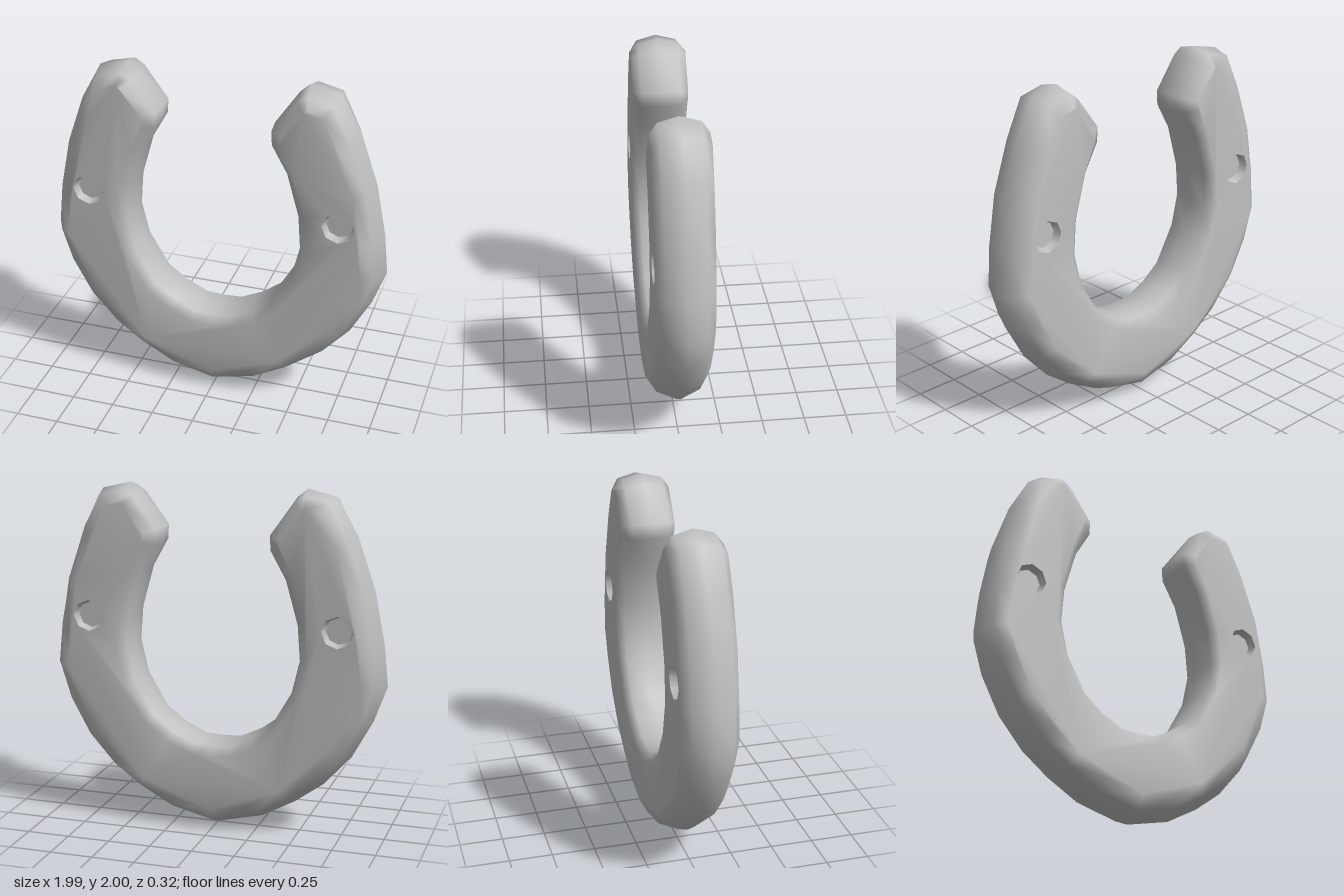
import * as THREE from 'three';

const HALF_DEPTH = 0.16;
const HOLE = { x: 0.735, y: 1.235, rim: 0.092, floor: 0.078, depth: 0.045, sides: 8 };

// Half outline from the toe, up the outside, over the heel and down the inside:
// [x, y, bevel inset at the flat face, inset at the shoulder]
const HALF = [
  [0, 0, 0.13, 0.05], [0.27, 0.065, 0.12, 0.05], [0.47, 0.175, 0.12, 0.05],
  [0.64, 0.3, 0.12, 0.05], [0.8, 0.48, 0.12, 0.05], [0.92, 0.7, 0.12, 0.05],
  [0.995, 0.91, 0.12, 0.06], [0.97, 1.15, 0.11, 0.05], [0.91, 1.45, 0.1, 0.04],
  [0.81, 1.74, 0.1, 0.04], [0.69, 1.96, 0.1, 0.03], [0.52, 2, 0.09, 0.03],
  [0.46, 1.95, 0.08, 0.02], [0.325, 1.75, 0.07, 0.01], [0.33, 1.66, 0.07, 0.01],
  [0.42, 1.5, 0.06, 0.01], [0.49, 1.25, 0.06, 0.01], [0.505, 1.05, 0.06, 0.01],
  [0.46, 0.86, 0.06, 0.01], [0.345, 0.66, 0.06, 0.01], [0.23, 0.575, 0.06, 0.01],
  [0.105, 0.515, 0.06, 0.01], [0, 0.51, 0.06, 0.01],
];

function shoeGeometry() {
  const mirrored = HALF.slice(1, -1).reverse().map(([x, ...rest]) => [-x, ...rest]);
  const outline = [...HALF, ...mirrored];
  const n = outline.length;

  // Outline moved inwards along its normals by the chosen inset column
  const inset = (column) => outline.map((p, i) => {
    const a = outline[(i + n - 1) % n], b = outline[(i + 1) % n];
    const d1 = new THREE.Vector2(p[0] - a[0], p[1] - a[1]).normalize();
    const d2 = new THREE.Vector2(b[0] - p[0], b[1] - p[1]).normalize();
    const d = d1.add(d2).normalize();
    const amount = column ? p[column] : 0;
    return new THREE.Vector2(p[0] - d.y * amount, p[1] + d.x * amount);
  });

  const face = inset(2), shoulder = inset(3), rim = inset(0);
  const levels = [
    [face, HALF_DEPTH], [shoulder, 0.115], [rim, 0], [shoulder, -0.115], [face, -HALF_DEPTH],
  ];
  const positions = [], index = [];
  for (const [ring, z] of levels) for (const p of ring) positions.push(p.x, p.y, z);

  // Bevelled wall around the whole outline
  for (let l = 0; l < levels.length - 1; l++) {
    for (let i = 0; i < n; i++) {
      const j = (i + 1) % n, t = l * n, u = t + n;
      index.push(t + i, u + i, t + j, t + j, u + i, u + j);
    }
  }

  // Flat front and back faces, with an opening for each nail dent
  const holes = [-1, 1].map((s) => Array.from({ length: HOLE.sides }, (_, i) => {
    const a = (-i / HOLE.sides) * Math.PI * 2;
    return new THREE.Vector2(s * HOLE.x + HOLE.rim * Math.sin(a), HOLE.y + HOLE.rim * Math.cos(a));
  }));
  const triangles = THREE.ShapeUtils.triangulateShape(face, holes);
  for (const side of [1, -1]) {
    const ringStart = side > 0 ? 0 : (levels.length - 1) * n;
    const holeStart = positions.length / 3;
    for (const p of holes.flat()) positions.push(p.x, p.y, side * HALF_DEPTH);
    const id = (k) => (k < n ? ringStart + k : holeStart + k - n);
    const points = [...face, ...holes.flat()];
    for (const [a, b, c] of triangles) {
      const A = points[a], B = points[b], C = points[c];
      const area = (B.x - A.x) * (C.y - A.y) - (B.y - A.y) * (C.x - A.x);
      if (area * side > 0) index.push(id(a), id(b), id(c));
      else index.push(id(a), id(c), id(b));
    }
  }

  const geometry = new THREE.BufferGeometry();
  geometry.setAttribute('position', new THREE.Float32BufferAttribute(positions, 3));
  geometry.setIndex(index);
  geometry.computeVertexNormals();
  return geometry;
}

export function createModel() {
  const group = new THREE.Group();
  group.name = 'horseshoe';
  const iron = new THREE.MeshStandardMaterial({ color: 0xc0c0c0 });
  iron.name = 'grey iron';

  const body = new THREE.Mesh(shoeGeometry(), iron);
  body.name = 'shoeBody';
  group.add(body);

  // Shallow nail dents on both faces
  const dent = new THREE.LatheGeometry([
    new THREE.Vector2(HOLE.rim, 0),
    new THREE.Vector2(HOLE.floor, -HOLE.depth),
    new THREE.Vector2(HOLE.floor - 0.004, -HOLE.depth),
    new THREE.Vector2(0, -HOLE.depth),
  ], HOLE.sides);
  for (const x of [-1, 1]) {
    for (const z of [-1, 1]) {
      const mesh = new THREE.Mesh(dent, iron);
      mesh.name = `${z > 0 ? 'front' : 'back'}${x > 0 ? 'Left' : 'Right'}NailDent`;
      mesh.position.set(x * HOLE.x, HOLE.y, z * HALF_DEPTH);
      mesh.rotation.x = (z * Math.PI) / 2;
      group.add(mesh);
    }
  }
  return group;
}
